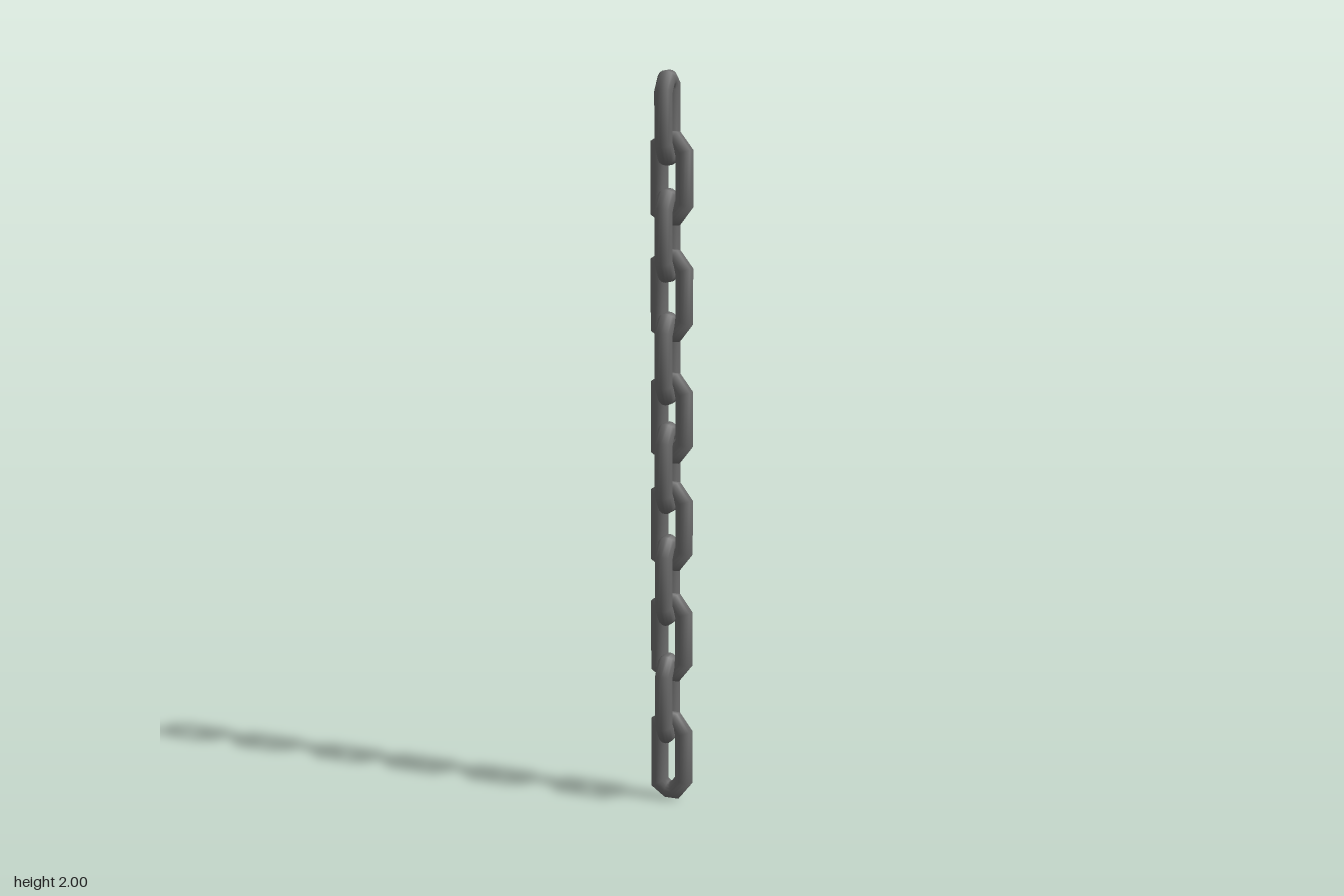
import * as THREE from 'three';

const RADIUS = 0.024, SIDES = 16;

// Centre line of one link, counter-clockwise, with one side longer than the other
const upper = [[0.0385, 0.067], [0.011, 0.1], [-0.012, 0.101], [-0.0385, 0.085]];
const path = [...upper, ...upper.map(([x, y]) => [x, -y]).reverse()]
  .map(([x, y]) => new THREE.Vector2(x, y));

// Closed round bar following the path, with mitred corners
function linkGeometry() {
  const n = path.length, positions = [], index = [];
  for (let i = 0; i < n; i++) {
    const before = path[i].clone().sub(path[(i + n - 1) % n]).normalize();
    const after = path[(i + 1) % n].clone().sub(path[i]).normalize();
    const t = before.clone().add(after).normalize();
    const mitre = RADIUS / t.dot(after);
    for (let j = 0; j < SIDES; j++) {
      const a = (j / SIDES) * Math.PI * 2;
      const out = Math.cos(a) * mitre;
      positions.push(path[i].x + t.y * out, path[i].y - t.x * out, Math.sin(a) * RADIUS);
      const k = (j + 1) % SIDES, next = ((i + 1) % n) * SIDES;
      index.push(i * SIDES + j, next + j, i * SIDES + k);
      index.push(next + j, next + k, i * SIDES + k);
    }
  }
  const geometry = new THREE.BufferGeometry();
  geometry.setAttribute('position', new THREE.Float32BufferAttribute(positions, 3));
  geometry.setIndex(index);
  geometry.computeVertexNormals();
  return geometry;
}

export function createModel() {
  const chain = new THREE.Group();
  chain.name = 'chain';
  const steel = new THREE.MeshStandardMaterial({ color: 0x6a6a6a });
  steel.name = 'dark steel';
  const geometry = linkGeometry();

  function addLinks(name, heights, x, z, turn) {
    heights.forEach((y, i) => {
      const link = new THREE.Mesh(geometry, steel);
      link.name = name + (i + 1);
      link.position.set(x, y, z);
      link.rotation.y = turn;
      chain.add(link);
    });
  }

  // Links lying across the chain, and the turned links threaded through them
  addLinks('crossLink', [1.716, 1.404, 1.072, 0.774, 0.462, 0.125], 0, -0.016, 0);
  addLinks('turnedLink', [1.875, 1.565, 1.235, 0.937, 0.625, 0.291], -0.0045, -0.001, -1.32);
  return chain;
}
